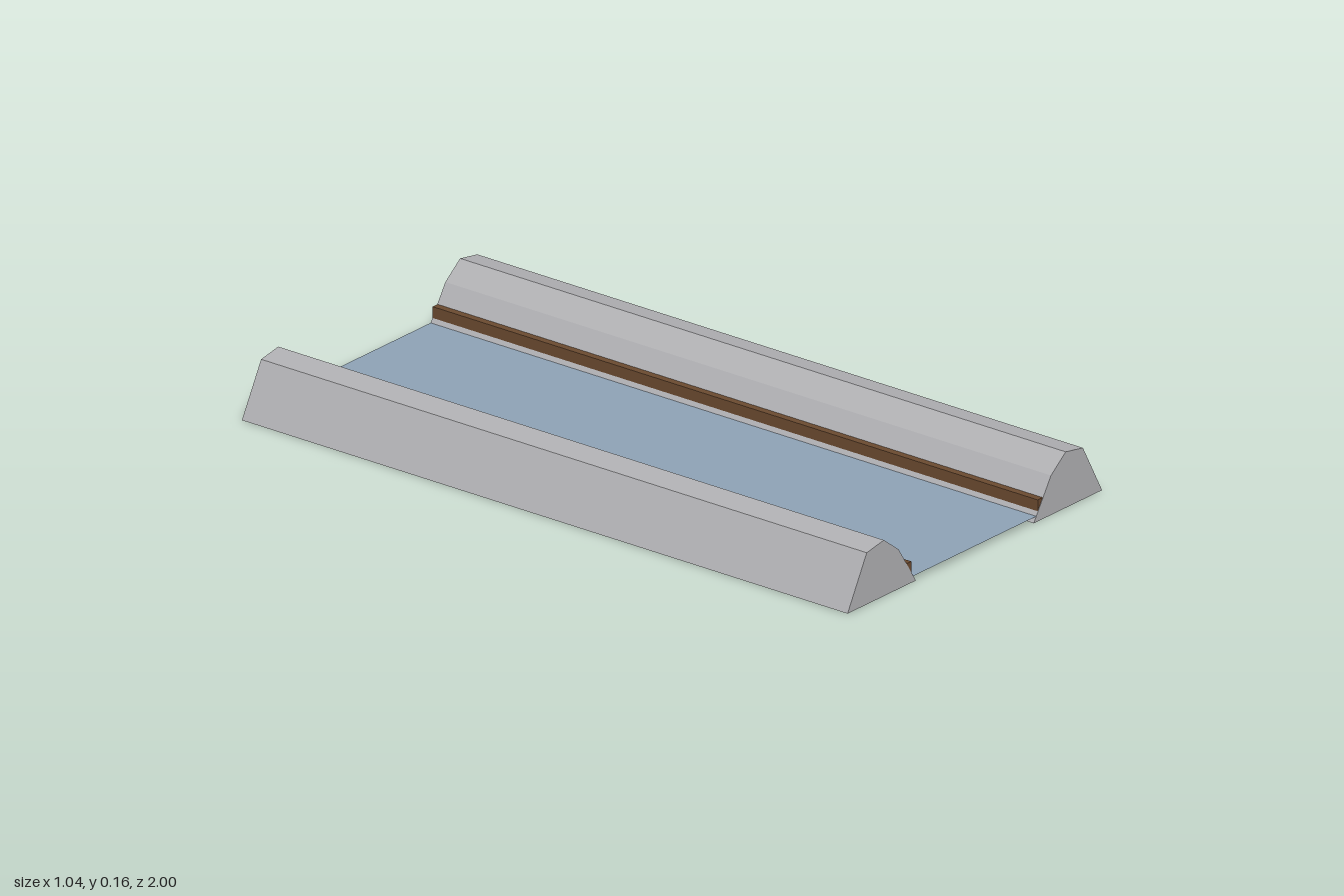
import * as THREE from 'three';

const LENGTH = 2;

export function createModel() {
  const stone = new THREE.MeshStandardMaterial({ color: 0xb0b0b3 });
  stone.name = 'pale stone';
  const wood = new THREE.MeshStandardMaterial({ color: 0x6b4a30 });
  wood.name = 'brown timber';
  const waterBlue = new THREE.MeshStandardMaterial({ color: 0x8ea2b5, side: THREE.DoubleSide });
  waterBlue.name = 'water blue';

  const model = new THREE.Group();
  model.name = 'canal';

  // Cross-section of one bank, from its inner foot over the crest to its outer foot
  const profile = [[0.24, 0], [0.31, 0.11], [0.37, 0.156], [0.44, 0.144], [0.518, 0]];

  for (const side of [1, -1]) {
    const name = side > 0 ? 'left' : 'right';

    // Faceted embankment
    const shape = new THREE.Shape(profile.map(([x, y]) => new THREE.Vector2(side * x, y)));
    const bankGeometry = new THREE.ExtrudeGeometry(shape, { depth: LENGTH, bevelEnabled: false });
    bankGeometry.translate(0, 0, -LENGTH / 2);
    const bank = new THREE.Mesh(bankGeometry, stone);
    bank.name = name + 'Bank';

    // Timber edging set into the inner slope, a hair short of the bank's ends and base
    const edging = new THREE.Mesh(new THREE.BoxGeometry(0.025, 0.058, LENGTH - 0.002), wood);
    edging.name = name + 'Edging';
    edging.position.set(side * 0.27, 0.03, 0);

    model.add(bank, edging);
  }

  // Water surface between the inner slopes
  const water = new THREE.Mesh(new THREE.PlaneGeometry(0.502, LENGTH).rotateX(-Math.PI / 2), waterBlue);
  water.name = 'water';
  water.position.y = 0.016;
  model.add(water);

  return model;
}
